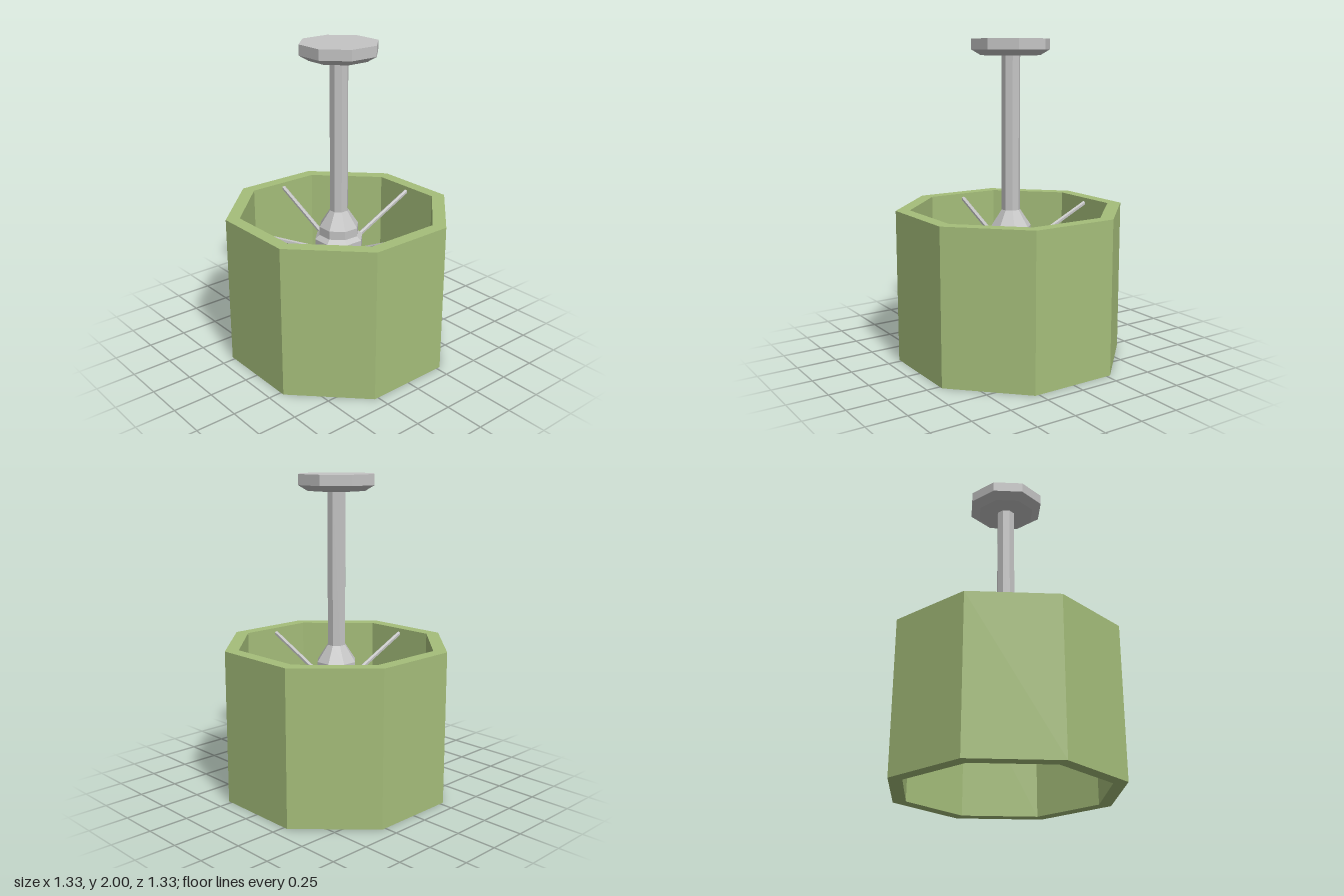
import * as THREE from 'three';

// Octagonal solid from a profile of [apothem, y], listed so the outside lies right of the path
function octagon(profile) {
  const k = 1 / Math.cos(Math.PI / 8);
  const points = profile.map(([a, y]) => new THREE.Vector2(a * k, y));
  return faceted(new THREE.LatheGeometry(points, 8, Math.PI / 8));
}

// Split the faces so every facet is flat
function faceted(geometry) {
  const flat = geometry.toNonIndexed();
  flat.computeVertexNormals();
  return flat;
}

export function createModel() {
  const green = new THREE.MeshStandardMaterial({ color: 0xa5be7a });
  green.name = 'shadeGreen';
  const grey = new THREE.MeshStandardMaterial({ color: 0xc4c4c4 });
  grey.name = 'metalGrey';

  const group = new THREE.Group();
  group.name = 'pendantLamp';
  const add = (name, geometry, material) => {
    const mesh = new THREE.Mesh(geometry, material);
    mesh.name = name;
    group.add(mesh);
    return mesh;
  };

  // Thick open shade: outer wall, top rim, inner wall, bottom rim
  add('shade', octagon([[0.665, 0], [0.665, 0.96], [0.585, 0.96], [0.585, 0], [0.665, 0]]), green);

  // Ceiling canopy and stem
  add('canopy', octagon([[0, 1.9], [0.172, 1.9], [0.227, 1.935], [0.227, 2], [0, 2]]), grey);
  add('stem', octagon([[0.054, 0.92], [0.054, 1.9]]), grey);

  // Hub: conical cap, collar, wider ring and the socket underneath
  add('hubCap', octagon([[0.118, 0.77], [0.118, 0.84], [0.054, 0.945]]), grey);
  add('hubRing', octagon([[0, 0.68], [0.13, 0.68], [0.145, 0.70], [0.145, 0.76], [0.118, 0.785], [0, 0.785]]), grey);
  add('socket', octagon([[0, 0.58], [0.08, 0.58], [0.095, 0.60], [0.095, 0.69]]), grey);

  // Four rods sloping up from the hub to the inside of the shade
  const inner = new THREE.Vector3(0, 0.70, 0.12);
  const outer = new THREE.Vector3(0, 0.925, 0.588);
  const span = outer.clone().sub(inner);
  const rod = faceted(new THREE.CylinderGeometry(0.0145, 0.0145, span.length(), 6));
  rod.applyQuaternion(new THREE.Quaternion().setFromUnitVectors(
    new THREE.Vector3(0, 1, 0), span.clone().normalize()));
  rod.translate(0, (inner.y + outer.y) / 2, (inner.z + outer.z) / 2);
  for (let i = 0; i < 4; i++) {
    add('supportRod' + (i + 1), rod, grey).rotation.y = i * Math.PI / 2;
  }

  return group;
}
